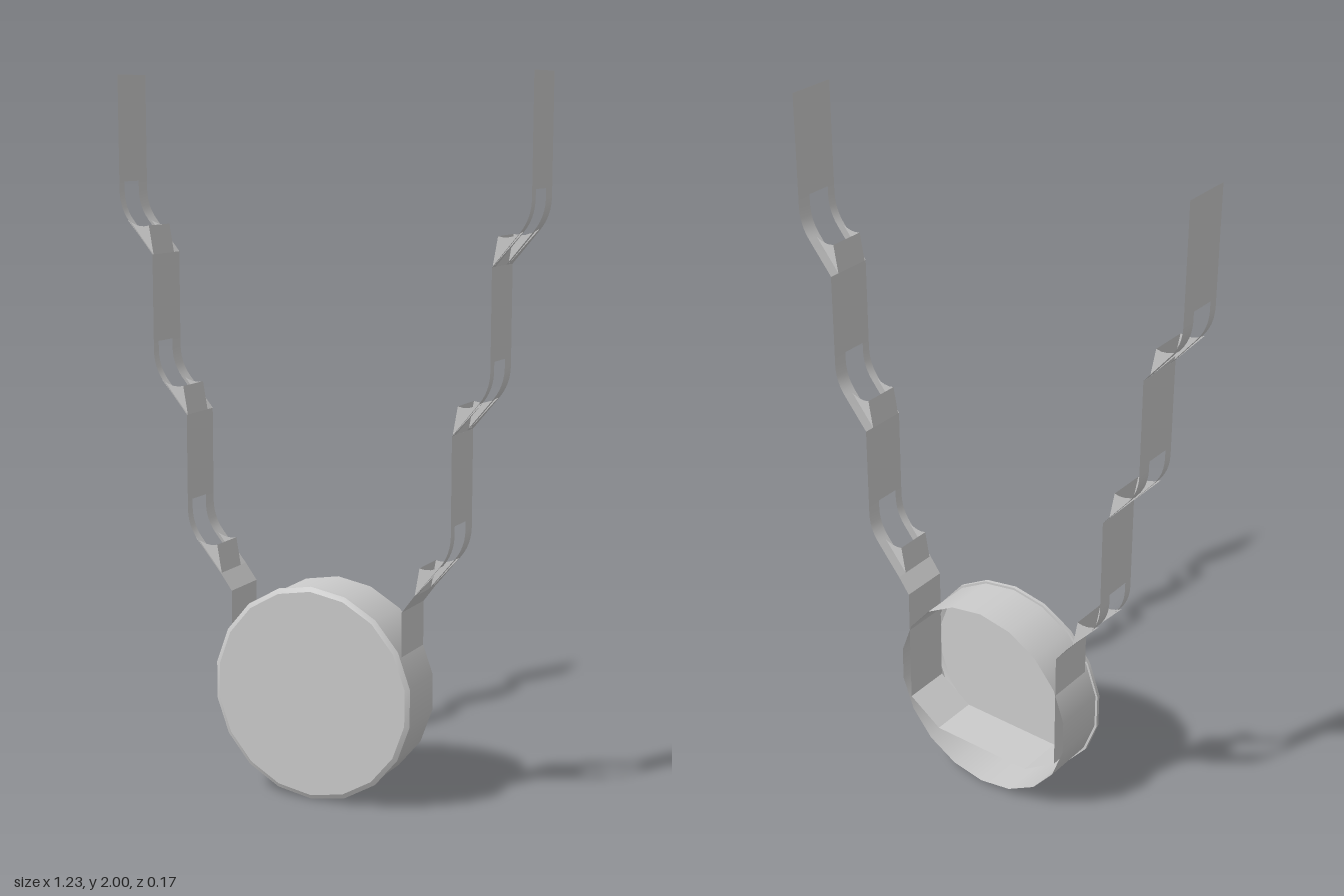
import * as THREE from 'three';
import { toCreasedNormals } from 'three/addons/utils/BufferGeometryUtils.js';

const material = new THREE.MeshStandardMaterial({ color: 0xcccccc, side: THREE.DoubleSide });
const BACK = -0.087, FRONT = 0.057; // strap edges in z
const CENTRE_Y = 0.307;

function addMesh(parent, name, geometry) {
  const mesh = new THREE.Mesh(geometry, material);
  mesh.name = name;
  parent.add(mesh);
  return mesh;
}

// Thin sheet: a path in the xy plane swept from z0 to z1
function sheet(path, z0, z1) {
  const positions = [], index = [];
  path.forEach(([x, y], i) => {
    positions.push(x, y, z0, x, y, z1);
    if (i) {
      const a = 2 * i - 2;
      index.push(a, a + 2, a + 1, a + 1, a + 2, a + 3);
    }
  });
  const g = new THREE.BufferGeometry();
  g.setAttribute('position', new THREE.Float32BufferAttribute(positions, 3));
  g.setIndex(index);
  return toCreasedNormals(g, 0.45);
}

// One link, its origin at the lower bend where the previous panel ends
function createLink(panelTop) {
  const link = new THREE.Group();
  link.name = 'strapLink';

  // Two rails bend outward and up on either side of the window
  const bend = new THREE.QuadraticBezierCurve(
    new THREE.Vector2(0.075, 0.09), new THREE.Vector2(0.105, 0.126), new THREE.Vector2(0.106, 0.175));
  const rail = [[0, 0], ...bend.getPoints(6).map((p) => [p.x, p.y]), [0.106, 0.2]];
  addMesh(link, 'backRail', sheet(rail, BACK, -0.043));
  addMesh(link, 'frontRail', sheet(rail, 0.031, FRONT));

  // Flat panel above the window
  addMesh(link, 'panel', sheet([[0.106, 0.2], [0.106, panelTop]], BACK, FRONT));

  // Tab standing up behind the bend, with a gusset at each edge
  addMesh(link, 'tab', sheet([[0, 0], [0.014, 0.08]], -0.057, 0.052));
  const side = new THREE.Shape();
  side.moveTo(0, 0);
  side.lineTo(0.084, 0.094);
  side.quadraticCurveTo(0.045, 0.07, 0.014, 0.08);
  side.closePath();
  for (const z of [-0.057, 0.052]) {
    addMesh(link, 'tabGusset', new THREE.ShapeGeometry(side, 4)).position.z = z;
  }
  return link;
}

function createStrap() {
  const strap = new THREE.Group();
  for (let i = 0; i < 3; i++) {
    const y = 0.612 + 0.446 * i;
    const link = createLink(i === 2 ? 2 - y : 0.446);
    link.position.set(0.299 + 0.1055 * i, y, 0);
    strap.add(link);
  }
  return strap;
}

export function createModel() {
  const model = new THREE.Group();

  // Round case: open drum behind a bevelled face
  const drum = new THREE.CylinderGeometry(0.298, 0.298, 0.157, 18, 1, true);
  drum.rotateX(Math.PI / 2);
  addMesh(model, 'caseWall', drum).position.set(0, CENTRE_Y, -0.0085);

  const profile = [[0.298, 0.07], [0.305, 0.07], [0.305, 0.08], [0.292, 0.087], [0, 0.087]];
  const face = new THREE.LatheGeometry(profile.map(([r, h]) => new THREE.Vector2(r, h)), 18);
  face.rotateX(Math.PI / 2);
  addMesh(model, 'caseFace', toCreasedNormals(face, 0.4)).position.y = CENTRE_Y;

  // Band running through the case and out at both sides
  const half = [[0.299, 0.612], [0.264, 0.565], [0.264, 0.2], [0.16, 0.13]];
  const band = [...half, ...half.map(([x, y]) => [-x, y]).reverse()];
  addMesh(model, 'innerBand', sheet(band, BACK, FRONT));

  // Mirrored straps
  for (const s of [1, -1]) {
    const strap = createStrap();
    strap.name = s > 0 ? 'leftStrap' : 'rightStrap';
    strap.scale.x = s;
    model.add(strap);
  }
  return model;
}
